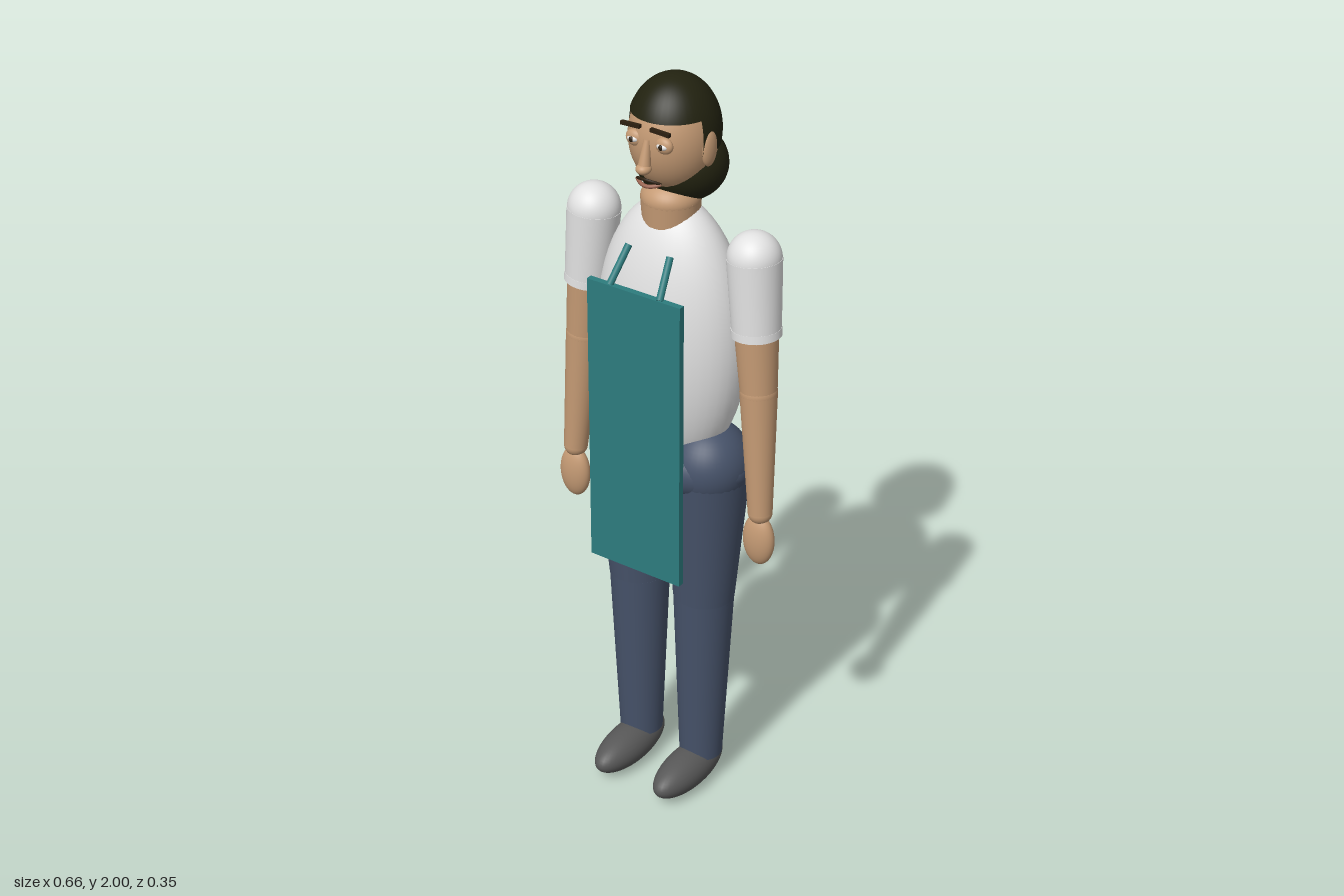
import * as THREE from 'three';

const mat = (name, color) => {
  const m = new THREE.MeshStandardMaterial({ color });
  m.name = name;
  return m;
};

export function createModel() {
  const root = new THREE.Group();
  root.name = 'apronedWorker';
  const skin = mat('skin', 0xc49a74);
  const shirt = mat('shirt', 0xe2e2e2);
  const jeans = mat('jeans', 0x465269);
  const shoe = mat('shoe', 0x585858);
  const hair = mat('hair', 0x222210);
  hair.side = THREE.DoubleSide;
  const teal = mat('apron', 0x2d7c7e);
  const lip = mat('lip', 0x9a6450);
  const brown = mat('brow', 0x2c1f10);

  const add = (name, geo, material, parent = root) => {
    const m = new THREE.Mesh(geo, material);
    m.name = name;
    parent.add(m);
    return m;
  };
  // Ellipsoid from centre and radii
  const ball = (name, material, c, r, parent, ...arc) => {
    const m = add(name, new THREE.SphereGeometry(1, 40, 28, ...arc), material, parent);
    m.position.set(...c);
    m.scale.set(...r);
    return m;
  };
  // Tapered limb running from a (radius ra) down to b (radius rb)
  const limb = (name, material, a, b, ra, rb, parent) => {
    const p = new THREE.Vector3(...a), q = new THREE.Vector3(...b);
    const m = add(name, new THREE.CylinderGeometry(ra, rb, p.distanceTo(q), 32), material, parent);
    m.position.copy(p).add(q).multiplyScalar(0.5);
    m.quaternion.setFromUnitVectors(new THREE.Vector3(0, 1, 0), p.sub(q).normalize());
    return m;
  };

  // Torso and hips
  ball('torso', shirt, [0, 1.32, -0.03], [0.205, 0.37, 0.141]);
  ball('pelvis', jeans, [0, 0.98, -0.027], [0.224, 0.1, 0.136]);

  // Neck and head
  limb('neck', skin, [0, 1.69, -0.022], [0, 1.63, -0.022], 0.074, 0.07);
  ball('throat', skin, [0, 1.69, -0.022], [0.074, 0.05, 0.074]);
  const head = new THREE.Group();
  head.name = 'head';
  root.add(head);
  ball('face', skin, [0, 1.85, -0.035], [0.108, 0.14, 0.114], head);

  // Hair: cap, back with sideburns, and low bun
  const hc = [0, 1.86, -0.036], hr = [0.112, 0.14, 0.118];
  ball('hairCap', hair, hc, hr, head, 0, Math.PI * 2, 0, 1.17);
  ball('hairBack', hair, hc, hr, head, Math.PI - 0.3, Math.PI + 0.6, 1.1, 0.72);
  ball('hairBun', hair, [0, 1.766, -0.068], [0.116, 0.097, 0.105], head);

  // Nose
  limb('noseBridge', skin, [0, 1.872, 0.075], [0, 1.805, 0.088], 0.008, 0.016, head);
  ball('noseTip', skin, [0, 1.803, 0.09], [0.019, 0.014, 0.02], head);

  // Mouth
  const mouthCurve = (dy, bend) => new THREE.QuadraticBezierCurve3(
    new THREE.Vector3(-0.034, 1.763, 0.068),
    new THREE.Vector3(0, 1.763 + dy, 0.098 + bend),
    new THREE.Vector3(0.034, 1.763, 0.068));
  add('upperLip', new THREE.TubeGeometry(mouthCurve(0.018, 0), 16, 0.004, 8), brown, head);
  add('lowerLip', new THREE.TubeGeometry(mouthCurve(-0.016, -0.004), 16, 0.005, 8), lip, head);

  for (const s of [1, -1]) {
    const side = s > 0 ? 'left' : 'right';

    // Face details
    ball(side + 'Ear', skin, [s * 0.104, 1.84, -0.028], [0.015, 0.047, 0.026], head);
    ball(side + 'EyeSocket', skin, [s * 0.042, 1.864, 0.066], [0.024, 0.021, 0.014], head);
    ball(side + 'Eye', shirt, [s * 0.042, 1.864, 0.075], [0.015, 0.008, 0.008], head);
    ball(side + 'Pupil', brown, [s * 0.042, 1.864, 0.081], [0.006, 0.007, 0.004], head);
    const brow = add(side + 'Brow', new THREE.BoxGeometry(0.054, 0.009, 0.01), brown, head);
    brow.position.set(s * 0.042, 1.903, 0.082);
    brow.rotation.z = -s * 0.04;

    // Arm: short sleeve, skin, hand
    const arm = new THREE.Group();
    arm.name = side + 'Arm';
    root.add(arm);
    const shoulder = [s * 0.235, 1.59, -0.03];
    const hem = [s * 0.25, 1.39, -0.023];
    const elbow = [s * 0.262, 1.24, -0.018];
    const wrist = [s * 0.284, 0.91, -0.002];
    ball('shoulder', shirt, shoulder, [0.067, 0.067, 0.067], arm);
    limb('sleeve', shirt, shoulder, hem, 0.068, 0.06, arm);
    limb('sleeveHem', shirt, [s * 0.248, 1.41, -0.024], hem, 0.062, 0.062, arm);
    limb('upperArm', skin, hem, elbow, 0.054, 0.046, arm);
    ball('elbow', skin, elbow, [0.047, 0.047, 0.047], arm);
    limb('forearm', skin, elbow, wrist, 0.047, 0.031, arm);
    ball('wrist', skin, wrist, [0.031, 0.031, 0.031], arm);
    ball('hand', skin, [s * 0.284, 0.832, 0.002], [0.044, 0.072, 0.027], arm);

    // Leg: hip, thigh, shin, shoe
    const leg = new THREE.Group();
    leg.name = side + 'Leg';
    root.add(leg);
    const hip = [s * 0.112, 0.985, -0.027];
    const knee = [s * 0.101, 0.585, -0.027];
    const ankle = [s * 0.097, 0.08, -0.025];
    ball('hip', jeans, hip, [0.11, 0.112, 0.11], leg);
    limb('thigh', jeans, hip, knee, 0.108, 0.08, leg);
    ball('knee', jeans, knee, [0.079, 0.079, 0.076], leg);
    limb('shin', jeans, knee, ankle, 0.079, 0.057, leg);
    ball('shoe', shoe, [s * 0.095, 0.053, 0.032], [0.056, 0.053, 0.142], leg);

    // Apron strap
    limb(side + 'Strap', teal, [s * 0.06, 1.58, 0.068], [s * 0.073, 1.494, 0.13], 0.009, 0.009);
  }

  // Apron panel
  add('apronPanel', new THREE.BoxGeometry(0.272, 0.79, 0.017), teal).position.set(0, 1.1, 0.128);

  return root;
}
